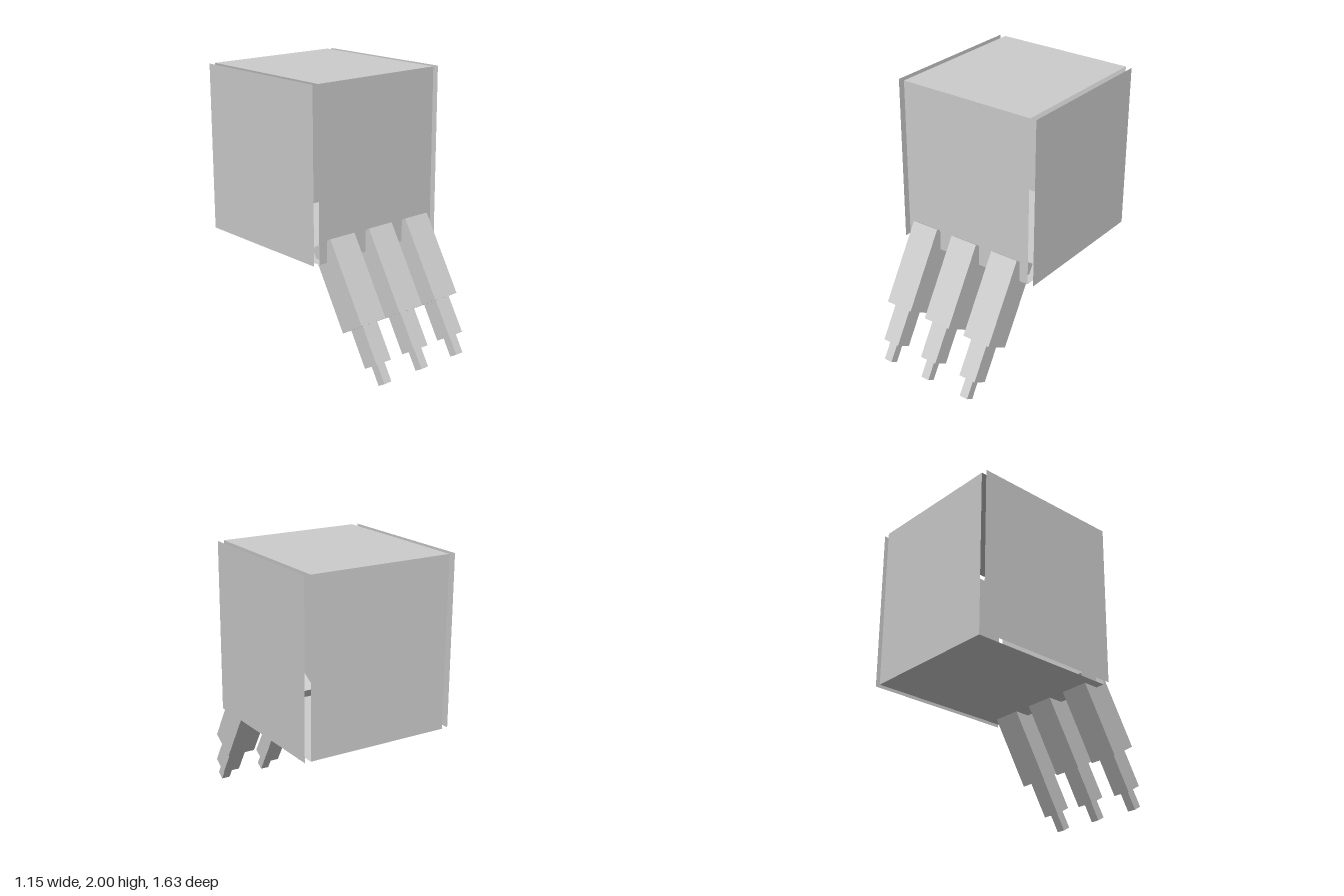
import * as THREE from 'three';

export function createModel() {
  const model = new THREE.Group();
  const gray = new THREE.MeshStandardMaterial({ color: 0xcccccc, side: THREE.DoubleSide });
  gray.name = 'plain gray';

  // Hollow body of six loose panels; the side panels stand clear of the rest
  const W = 1.054, H = 1.223, D = 1.14;
  const cy = 2 - H / 2, cz = -0.245;
  const body = new THREE.Group();
  body.name = 'body';
  model.add(body);

  function panel(name, w, h, position, rx, ry) {
    const mesh = new THREE.Mesh(new THREE.PlaneGeometry(w, h), gray);
    mesh.name = name;
    mesh.position.set(...position);
    mesh.rotation.set(rx, ry, 0);
    body.add(mesh);
  }
  const q = Math.PI / 2;
  panel('frontPanel', W, H, [0, cy, cz + D / 2], 0, 0);
  panel('backPanel', W, H, [0, cy, cz - D / 2], 0, Math.PI);
  panel('topPanel', W, D, [0, 2, cz], -q, 0);
  panel('bottomPanel', W, D, [0, 2 - H, cz], q, 0);
  panel('leftPanel', D, H, [0.573, cy, cz], 0, q);
  panel('rightPanel', D, H, [-0.573, cy, cz], 0, -q);

  // Three stepped legs, each of three square segments, slanting forward and down
  const segments = [
    ['upperSegment', 0.217, 0.614],
    ['middleSegment', 0.132, 0.272],
    ['tipSegment', 0.065, 0.137],
  ];
  [['rightLeg', -0.35], ['middleLeg', 0], ['leftLeg', 0.35]].forEach(([name, x]) => {
    const leg = new THREE.Group();
    leg.name = name;
    leg.position.set(x, 0.897, 0.265);
    leg.rotation.x = -THREE.MathUtils.degToRad(30.7);
    let y = 0;
    for (const [part, width, length] of segments) {
      const mesh = new THREE.Mesh(new THREE.BoxGeometry(width, length, width), gray);
      mesh.name = part;
      mesh.position.y = y - length / 2;
      y -= length;
      leg.add(mesh);
    }
    model.add(leg);
  });

  return model;
}
